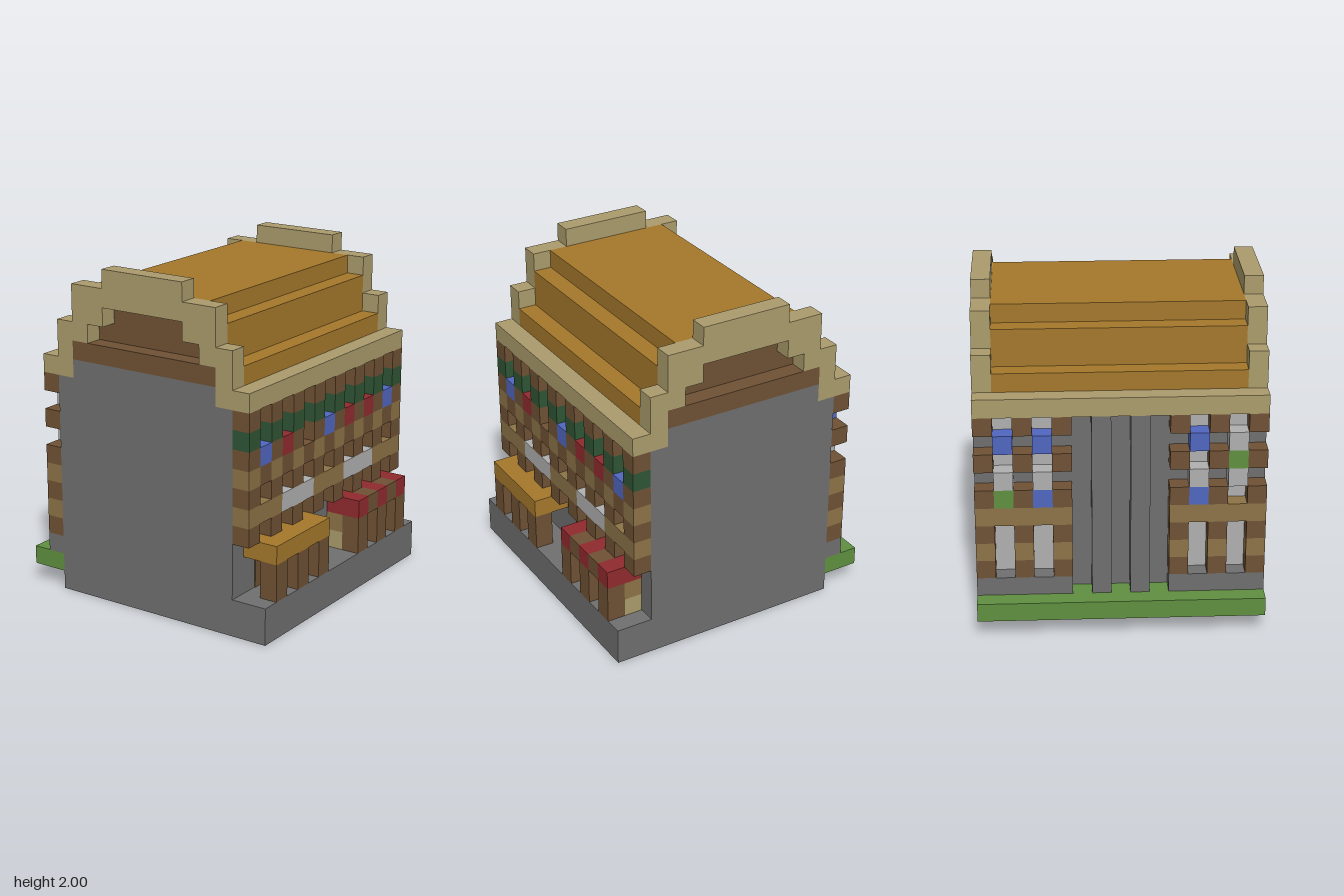
import * as THREE from 'three';

const U = 1 / 9; // one block
const paint = (name, color) => {
  const m = new THREE.MeshStandardMaterial({ color });
  m.name = name;
  return m;
};

export function createModel() {
  const root = new THREE.Group();
  root.name = 'building';
  const stone = paint('grey stone', 0x6f6f6f), sand = paint('sandstone', 0xab9c6c);
  const brown = paint('dark brown', 0x6f5134), oak = paint('light brown', 0x8d7347);
  const ochre = paint('ochre', 0xa5782b), red = paint('red', 0x902a2e);
  const blue = paint('blue', 0x5066c0), pine = paint('dark green', 0x2f5535);
  const grass = paint('grass green', 0x5f9040), pale = paint('pale grey', 0xb0b0b0);

  // Box from block coordinates: start and end along x, y and z
  const box = (name, mat, x0, x1, y0, y1, z0, z1, parent = root) => {
    const m = new THREE.Mesh(new THREE.BoxGeometry((x1 - x0) * U, (y1 - y0) * U, (z1 - z0) * U), mat);
    m.position.set(((x0 + x1) / 2 - 7.5) * U, ((y0 + y1) / 2) * U, ((z0 + z1) / 2 - 7.5) * U);
    m.name = name;
    parent.add(m);
    return m;
  };
  const group = (name) => {
    const g = new THREE.Group();
    g.name = name;
    root.add(g);
    return g;
  };

  // Body, base and lawn
  box('base', stone, 2, 15, 0, 2, 0, 15);
  box('body', stone, 2, 13, 2, 12, 0, 15);
  box('bodyTop', stone, 3, 12, 12, 13, 0, 15);
  box('lawn', grass, 0, 2, 1, 2, 0, 15);

  // Stepped roof and cornices
  const roof = group('roof');
  box('roofLower', ochre, 2, 13, 13, 14, 1, 14, roof);
  box('roofMiddle', ochre, 3, 12, 14, 16, 1, 14, roof);
  box('roofUpper', ochre, 4, 11, 16, 17, 1, 14, roof);
  for (const x of [1, 12]) box('cornice', sand, x, x + 2, 12, 13, 0, 15, roof);

  // Stepped gables at both ends
  for (const [z, inner] of [[0, 1], [14, 14]]) {
    const g = group('gable');
    for (const [a, b, y0, y1] of [[2, 3, 13, 14], [2, 4, 14, 15], [3, 5, 15, 16]]) {
      box('gableStep', sand, a, b, y0, y1, z, z + 1, g);
      box('gableStep', sand, 15 - b, 15 - a, y0, y1, z, z + 1, g);
    }
    box('gableHead', sand, 3, 12, 16, 17, z, z + 1, g);
    box('gableCrown', sand, 5, 10, 17, 18, z, z + 1, g);
    box('gableSill', brown, 3, 12, 13, 14, z, z + 1, g);
    const p0 = inner - 0.04, p1 = inner + 0.04;
    box('gablePanel', brown, 4, 11, 14, 15, p0, p1, g);
    box('gablePanel', brown, 5, 10, 15, 16, p0, p1, g);
  }

  // Street facade: piers, sills and recessed windows
  const street = group('streetFacade');
  const pierColours = [brown, oak, brown, oak, brown, pine, brown];
  const flowers = { 1: blue, 3: red, 5: red, 7: blue, 11: red, 13: blue };
  for (let k = 0; k < 15; k++) {
    if (k % 2 === 0) {
      pierColours.forEach((c, n) => {
        if (n !== 1) box('pier', c, 13, 14, 5 + n, 6 + n, k, k + 1, street);
      });
    } else {
      box('window', pale, 13, 13.05, 5, 12, k, k + 1, street);
      box('windowSill', brown, 13, 14, 8, 9, k, k + 1, street);
      if (flowers[k]) box('flowerBox', flowers[k], 13, 14, 9, 10, k, k + 1, street);
    }
  }
  for (let n = 0; n < 5; n++) {
    box('balconyBand', n % 2 ? pale : oak, 13, 14, 6, 7, n * 3, n * 3 + 3, street);
  }

  // Shops with awnings, and the entrance between them
  const shops = group('shops');
  box('ochreAwning', ochre, 13, 15, 4, 5, 9, 14, shops);
  for (const k of [9, 11, 13]) box('shopPost', brown, 14, 15, 2, 4, k, k + 1, shops);
  box('shopDoor', brown, 13, 13.05, 2, 4, 12, 13, shops);
  for (let k = 1; k < 6; k++) {
    const post = k % 2 === 1;
    box('redAwning', post ? red : brown, 13, 15, 4, 5, k, k + 1, shops);
    if (post) box('shopPost', brown, 14, 15, 2, 4, k, k + 1, shops);
    box('shopCounter', sand, 13, 14, 2, 3, k, k + 1, shops);
    box('shopShelf', post ? oak : sand, 13, 14, 3, 4, k, k + 1, shops);
  }
  box('entranceDoor', brown, 13, 13.05, 2, 3.85, 7, 8, shops);
  box('entranceDoorTop', brown, 13, 13.05, 3.85, 4, 7.15, 7.85, shops);

  // Garden facade: two bays of windows and a pair of stone pilasters
  const garden = group('gardenFacade');
  for (const k of [6, 8]) box('pilaster', stone, 1, 2, 2, 12, k, k + 1, garden);
  const gardenPier = { 3: brown, 4: oak, 5: brown, 7: brown, 9: brown, 11: brown };
  for (const z of [0, 10]) {
    box('plinth', stone, 1, 2, 2, 3, z, z + 5, garden);
    box('balconyBand', oak, 1, 2, 6, 7, z, z + 5, garden);
    for (let k = z; k < z + 5; k++) {
      if (k % 2 === 0) {
        for (const j in gardenPier) box('pier', gardenPier[j], 1, 2, +j, +j + 1, k, k + 1, garden);
      } else {
        box('window', pale, 1.95, 2, 3, 12, k, k + 1, garden);
        box('windowSill', pale, 1, 2, 8, 9, k, k + 1, garden);
        box('windowHead', k === 13 ? pale : blue, 1, 2, 10, 11, k, k + 1, garden);
      }
    }
  }
  box('flowerBox', blue, 1, 2, 7, 8, 3, 4, garden);
  box('flowerBox', blue, 1, 2, 7, 8, 11, 12, garden);
  box('shrub', grass, 1, 2, 7, 8, 1, 2, garden);
  box('shrub', grass, 1, 2, 9, 10, 13, 14, garden);
  return root;
}
